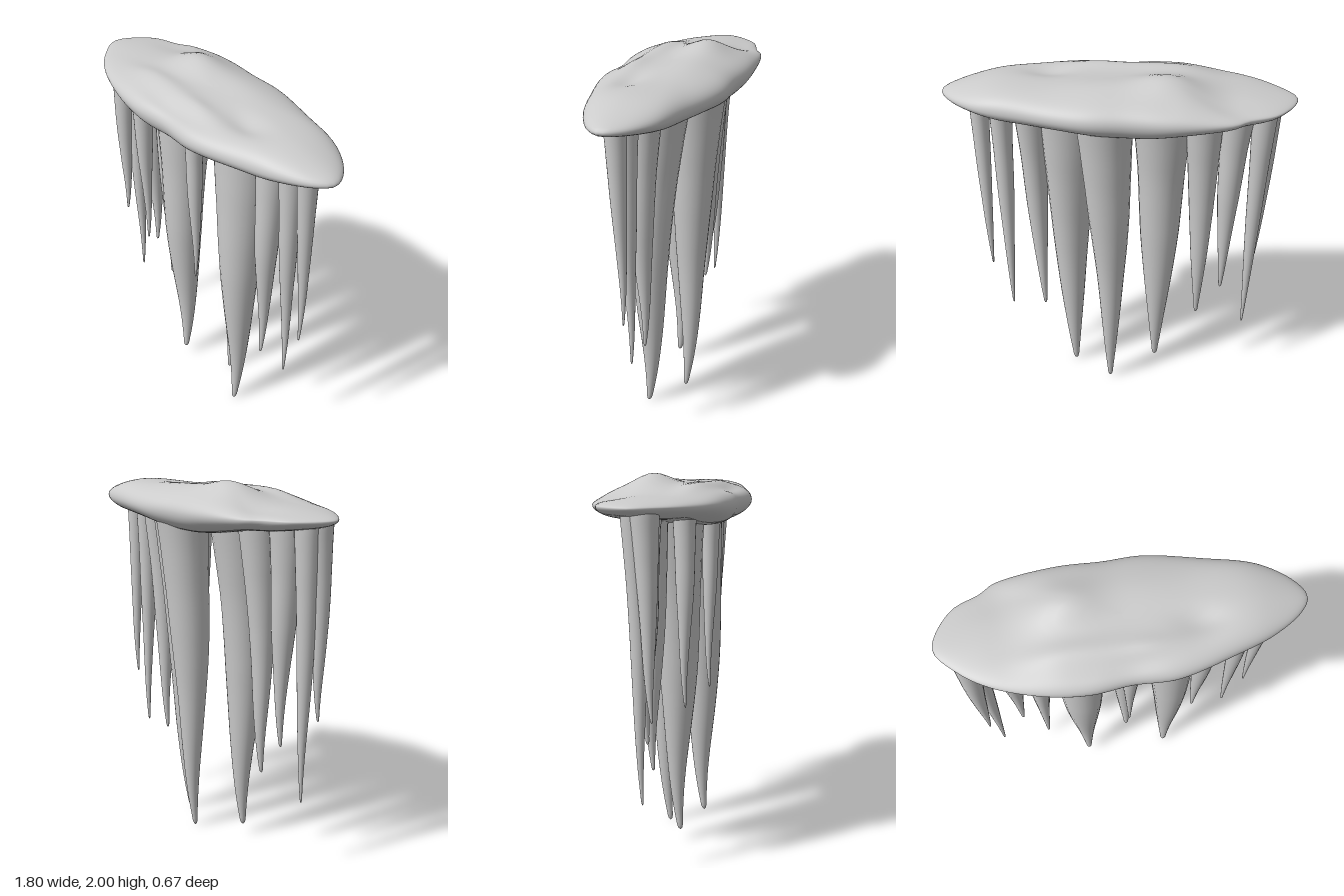
import * as THREE from 'three';

const material = new THREE.MeshStandardMaterial({ color: 0xcccccc });

// Smooth skin over closed rings ordered from top to bottom
function loft(name, rings) {
  const n = rings[0].length;
  const geometry = new THREE.BufferGeometry().setFromPoints(rings.flat());
  const index = [];
  for (let j = 0; j < rings.length - 1; j++) {
    for (let i = 0; i < n; i++) {
      const k = (i + 1) % n;
      const a = j * n + i, b = j * n + k, c = a + n, d = b + n;
      index.push(a, d, c, a, b, d);
    }
  }
  geometry.setIndex(index);
  geometry.computeVertexNormals();
  const mesh = new THREE.Mesh(geometry, material);
  mesh.name = name;
  return mesh;
}

// Value at x along a list of [x, value] pairs, eased between them
function along(table, x) {
  let i = 0;
  while (i < table.length - 2 && x > table[i + 1][0]) i++;
  const [x0, v0] = table[i], [x1, v1] = table[i + 1];
  return THREE.MathUtils.lerp(v0, v1, THREE.MathUtils.smoothstep(x, x0, x1));
}

// Slab outline in x and z, and its heights along x
const OUTLINE = [
  [-0.9, 0], [-0.8, -0.18], [-0.65, -0.25], [-0.58, -0.295], [-0.28, -0.338], [-0.05, -0.332], [0.15, -0.334],
  [0.45, -0.27], [0.7, -0.2], [0.85, -0.09], [0.897, 0], [0.85, 0.075], [0.7, 0.17],
  [0.5, 0.24], [0.22, 0.315], [0, 0.31], [-0.2, 0.33], [-0.4, 0.31], [-0.65, 0.23], [-0.8, 0.13],
];
const RIM = [[-0.9, 1.855], [0, 1.84], [0.9, 1.845]];
const TOP = [[-0.9, 1.895], [-0.6, 1.905], [-0.3, 1.935], [0, 1.94], [0.3, 1.94], [0.6, 1.95], [0.9, 1.92]];
const BOTTOM = [[-0.9, 1.79], [-0.6, 1.775], [-0.08, 1.725], [0.3, 1.75], [0.55, 1.755], [0.9, 1.78]];

// Hills and hollows on the top: x, z, width in x, width in z, height
const BUMPS = [
  [-0.25, -0.09, 0.16, 0.12, 0.058], [0.05, -0.12, 0.25, 0.12, 0.02], [-0.25, 0.15, 0.22, 0.06, 0.02],
  [0.1, 0.17, 0.15, 0.05, 0.015], [0.36, 0.08, 0.12, 0.07, -0.025], [0, 0.25, 0.22, 0.05, -0.02],
  [-0.6, -0.18, 0.15, 0.08, -0.015],
];

function slab() {
  const outline = new THREE.CatmullRomCurve3(
    OUTLINE.map(([x, z]) => new THREE.Vector3(x, 0, z)), true).getSpacedPoints(120).slice(0, -1);
  const steps = 22, rings = [];
  for (let j = 0; j <= 2 * steps; j++) {
    const under = j > steps;
    const s = Math.sin((under ? 2 * steps - j : j) / steps * Math.PI / 2);
    const lift = Math.pow(Math.max(0, 1 - s ** 4), 0.5);
    rings.push(outline.map((p) => {
      const x = p.x * s, z = p.z * s;
      const rim = along(RIM, x);
      let y = along(under ? BOTTOM : TOP, x);
      if (!under) {
        for (const [bx, bz, wx, wz, h] of BUMPS) {
          y += h * Math.exp(-(((x - bx) / wx) ** 2) - ((z - bz) / wz) ** 2);
        }
      }
      return new THREE.Vector3(x, rim + (y - rim) * lift, z);
    }));
  }
  return loft('iceSlab', rings);
}

// Icicles: top x z, middle x z, tip x z y, radius at the top
const ICICLES = [
  [-0.765, 0.04, -0.77, 0.06, -0.765, 0.07, 0.82, 0.07],
  [-0.745, -0.02, -0.735, 0, -0.725, 0.005, 0.38, 0.065],
  [-0.61, -0.02, -0.59, -0.015, -0.583, -0.015, 0.65, 0.092],
  [-0.44, 0.135, -0.44, 0.14, -0.44, 0.14, 0.82, 0.062],
  [-0.44, -0.06, -0.45, -0.03, -0.453, -0.03, 0.47, 0.105],
  [-0.23, 0, -0.228, 0.045, -0.22, 0.045, 0.06, 0.165],
  [0.025, 0.14, 0.02, 0.14, 0.02, 0.14, 0.82, 0.057],
  [0.06, -0.16, 0.035, -0.115, 0.04, -0.095, 0, 0.145],
  [0.24, -0.02, 0.265, 0.035, 0.26, 0.045, 0, 0.165],
  [0.445, -0.03, 0.44, 0, 0.425, -0.005, 0.47, 0.092],
  [0.605, 0, 0.61, 0, 0.612, -0.01, 0.47, 0.066],
  [0.715, 0, 0.715, -0.01, 0.712, -0.015, 0.76, 0.055],
];

// Radius down the length, as a share of the top radius
const TAPER = [
  [0, 1.02], [0.1, 0.91], [0.24, 0.79], [0.36, 0.72], [0.47, 0.64], [0.58, 0.53],
  [0.7, 0.41], [0.81, 0.29], [0.92, 0.17], [0.97, 0.11], [1, 0],
];

function taper(t) {
  let i = 0;
  while (i < TAPER.length - 2 && t > TAPER[i + 1][0]) i++;
  const [t0, r0] = TAPER[i], [t1, r1] = TAPER[i + 1];
  const f = (t - t0) / (t1 - t0);
  return i === TAPER.length - 2 ? r0 * Math.sqrt(Math.max(0, 1 - f * f)) : r0 + (r1 - r0) * f;
}

function icicle([tx, tz, mx, mz, ex, ez, ey, radius], seed) {
  const topY = 1.83;
  const axis = new THREE.CatmullRomCurve3([
    new THREE.Vector3(tx, topY, tz),
    new THREE.Vector3(mx, (topY + ey) / 2, mz),
    new THREE.Vector3(ex, ey, ez),
  ]);
  const sides = 24, steps = 40, rings = [];
  for (let j = 0; j <= steps; j++) {
    const t = 1 - (1 - j / steps) ** 1.4;
    const c = axis.getPoint(t);
    // lower part leans back, tip hooks forward
    c.z -= 0.12 * radius * Math.sin(Math.PI * t ** 3);
    // gentle swelling along the length
    const swell = 1 + 0.03 * Math.sin(t * 9 + seed * 1.7) * Math.sin(Math.PI * t);
    const r = radius * taper(t) * swell;
    const ring = [];
    for (let i = 0; i < sides; i++) {
      const a = i / sides * Math.PI * 2;
      const k = r * (1 + 0.03 * Math.sin(2 * a + seed + t * 5));
      ring.push(new THREE.Vector3(c.x + k * Math.cos(a), c.y, c.z + k * Math.sin(a)));
    }
    rings.push(ring);
  }
  return loft('icicle' + (seed + 1), rings);
}

export function createModel() {
  const model = new THREE.Group();
  model.name = 'hangingIcicles';
  model.add(slab());
  const icicles = new THREE.Group();
  icicles.name = 'icicles';
  ICICLES.forEach((row, i) => icicles.add(icicle(row, i)));
  model.add(icicles);
  return model;
}
